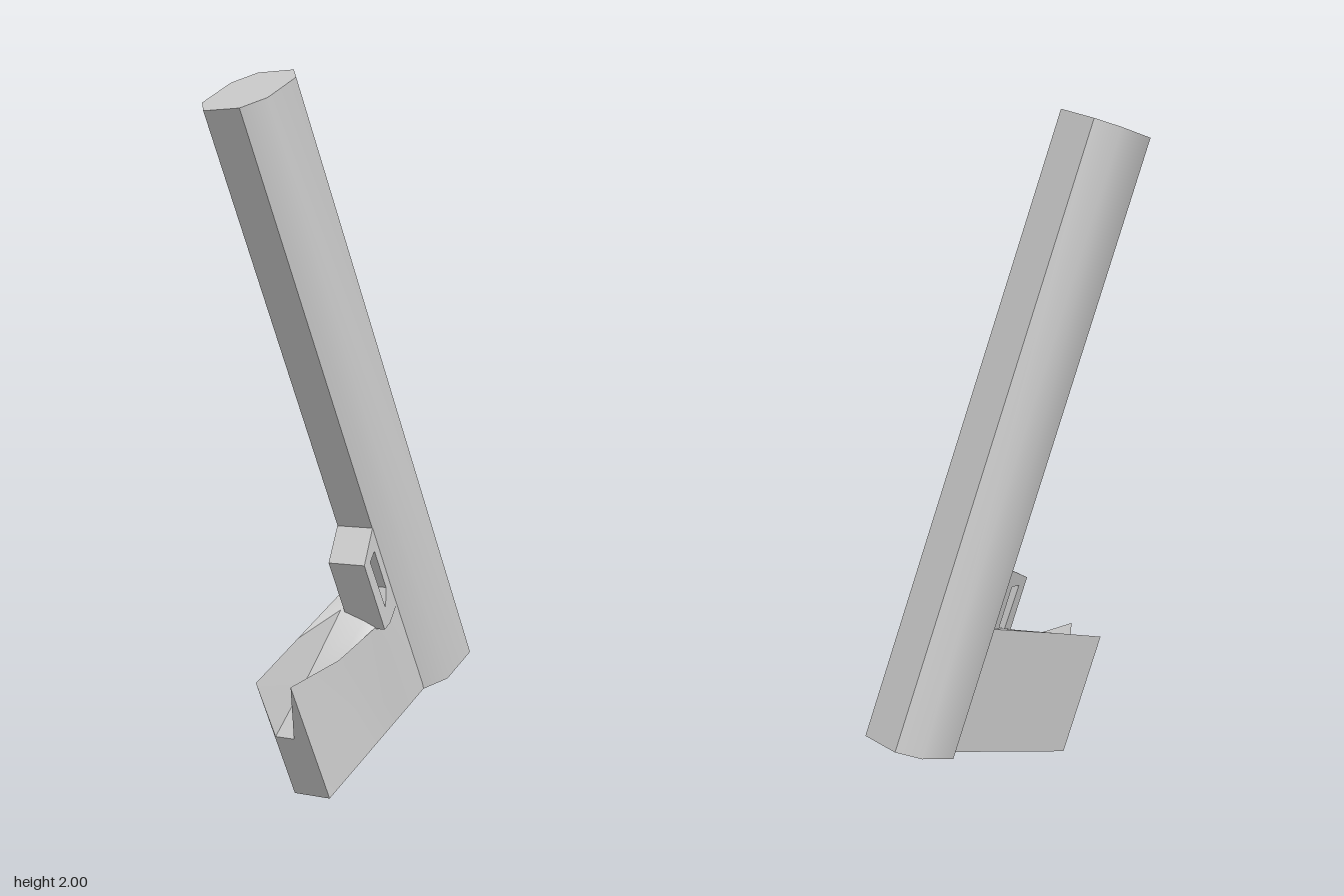
import * as THREE from 'three';
import { toCreasedNormals } from 'three/addons/utils/BufferGeometryUtils.js';

const CREASE = 0.75;

function part(name, geometry) {
  const g = geometry.index ? geometry.toNonIndexed() : geometry;
  const material = new THREE.MeshStandardMaterial({ color: 0xcccccc, side: THREE.DoubleSide });
  const mesh = new THREE.Mesh(toCreasedNormals(g, CREASE), material);
  mesh.name = name;
  return mesh;
}

// Joins equal-length outlines [x, y] placed at depths z, with closed ends
function loft(sections) {
  const pos = [];
  const n = sections[0].outline.length;
  const put = (s, i) => pos.push(s.outline[i][0], s.outline[i][1], s.z);
  for (let k = 0; k < sections.length - 1; k++) {
    const a = sections[k], b = sections[k + 1];
    for (let i = 0; i < n; i++) {
      const j = (i + 1) % n;
      put(a, i); put(a, j); put(b, j);
      put(a, i); put(b, j); put(b, i);
    }
  }
  const cap = (s, flip) => {
    const pts = s.outline.map(([x, y]) => new THREE.Vector2(x, y));
    for (const [a, b, c] of THREE.ShapeUtils.triangulateShape(pts, [])) {
      put(s, a); put(s, flip ? c : b); put(s, flip ? b : c);
    }
  };
  cap(sections[0], true);
  cap(sections[sections.length - 1], false);
  const g = new THREE.BufferGeometry();
  g.setAttribute('position', new THREE.Float32BufferAttribute(pos, 3));
  return g;
}

// Long eight-sided barrel standing on the local origin
function makeBarrel() {
  const [hw, fw, hd, fd] = [0.111, 0.061, 0.131, 0.069];
  const shape = new THREE.Shape([
    [fw, -hd], [hw, -fd], [hw, fd], [fw, hd],
    [-fw, hd], [-hw, fd], [-hw, -fd], [-fw, -hd],
  ].map(([x, y]) => new THREE.Vector2(x, y)));
  const g = new THREE.ExtrudeGeometry(shape, { depth: 1.846, bevelEnabled: false });
  g.rotateX(-Math.PI / 2);
  return part('barrel', g);
}

// Grip with a lopsided channel sunk into its top and front
function makeGrip() {
  const section = (z, ...top) => ({ z, outline: [[-0.06, 0], [0.062, 0], ...top] });
  return part('grip', loft([
    section(0.12, [0.06, 0.36], [0.03, 0.37], [-0.03, 0.38], [-0.06, 0.38]),
    section(0.275, [0.085, 0.32], [0.05, 0.34], [-0.02, 0.37], [-0.06, 0.38]),
    section(0.44, [0.062, 0.318], [0.03, 0.27], [-0.052, 0.27], [-0.059, 0.38]),
    section(0.655, [0.06, 0.378], [0.007, 0.197], [-0.057, 0.197], [-0.06, 0.378]),
  ]));
}

// Guard loop, sheared sideways as it leaves the barrel
function makeGuard() {
  const v = (z, y) => new THREE.Vector2(-z, y);
  const shape = new THREE.Shape([v(0.276, 0.53), v(0.276, 0.315), v(0.22, 0.3), v(0.12, 0.3), v(0.12, 0.562)]);
  shape.holes.push(new THREE.Path([v(0.226, 0.508), v(0.17, 0.508), v(0.17, 0.385), v(0.22, 0.35)]));
  const g = new THREE.ExtrudeGeometry(shape, { depth: 0.124, bevelEnabled: false });
  g.translate(0, 0, -0.062);
  g.rotateY(Math.PI / 2);
  const p = g.attributes.position;
  for (let i = 0; i < p.count; i++) p.setX(i, p.getX(i) + (p.getZ(i) - 0.131) * 0.37);
  return part('guard', g);
}

export function createModel() {
  const group = new THREE.Group();
  group.name = 'model';
  group.add(makeBarrel(), makeGrip(), makeGuard());

  // Lean the whole piece forward and slightly sideways
  const up = new THREE.Vector3(-0.148, 1.735, 0.613).normalize();
  const front = new THREE.Vector3().crossVectors(new THREE.Vector3(0.22, 0.024, -0.015), up).normalize();
  const side = new THREE.Vector3().crossVectors(up, front);
  group.quaternion.setFromRotationMatrix(new THREE.Matrix4().makeBasis(side, up, front));
  group.position.set(0.0665, 0.216, -0.311);
  return group;
}
